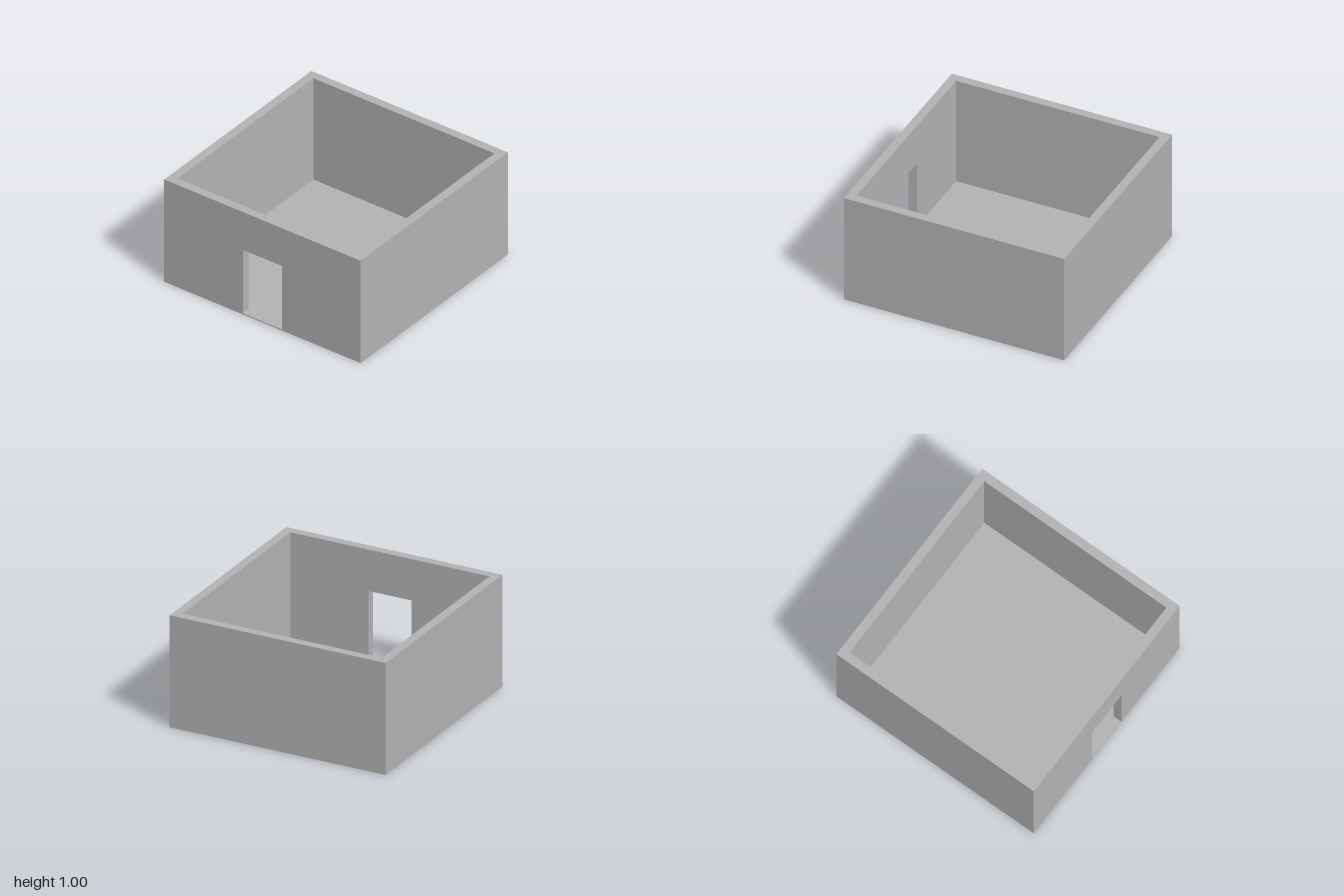
import * as THREE from 'three';

const SIZE = 2, HEIGHT = 1, WALL = 0.077, FLOOR = 0.01;
const DOOR_HALF = 0.2, DOOR_TOP = 0.63;

export function createModel() {
  const group = new THREE.Group();
  const plaster = new THREE.MeshStandardMaterial({ color: 0xb3b3b3 });
  plaster.name = 'grey plaster';

  const add = (name, geometry, x, y, z) => {
    const mesh = new THREE.Mesh(geometry, plaster);
    mesh.name = name;
    mesh.position.set(x, y, z);
    group.add(mesh);
    return mesh;
  };

  const wallHeight = HEIGHT - FLOOR;
  const wallY = FLOOR + wallHeight / 2;
  const offset = (SIZE - WALL) / 2;
  const inner = SIZE - 2 * WALL;

  // Thin floor slab under the whole room
  add('floor', new THREE.BoxGeometry(SIZE, FLOOR, SIZE), 0, FLOOR / 2, 0);

  // Front and back walls span the full width
  for (const [name, side] of [['frontWall', 1], ['backWall', -1]]) {
    add(name, new THREE.BoxGeometry(SIZE, wallHeight, WALL), 0, wallY, side * offset);
  }

  // Solid side wall fits between them
  add('solidSideWall', new THREE.BoxGeometry(WALL, wallHeight, inner), offset, wallY, 0);

  // Opposite side wall, notched for the doorway
  const h = inner / 2;
  const outline = new THREE.Shape([
    [-h, FLOOR], [-DOOR_HALF, FLOOR], [-DOOR_HALF, DOOR_TOP], [DOOR_HALF, DOOR_TOP],
    [DOOR_HALF, FLOOR], [h, FLOOR], [h, HEIGHT], [-h, HEIGHT],
  ].map(([x, y]) => new THREE.Vector2(x, y)));
  const doorWall = new THREE.ExtrudeGeometry(outline, { depth: WALL, bevelEnabled: false });
  doorWall.rotateY(Math.PI / 2);
  add('doorwayWall', doorWall, -SIZE / 2, 0, 0);

  return group;
}
